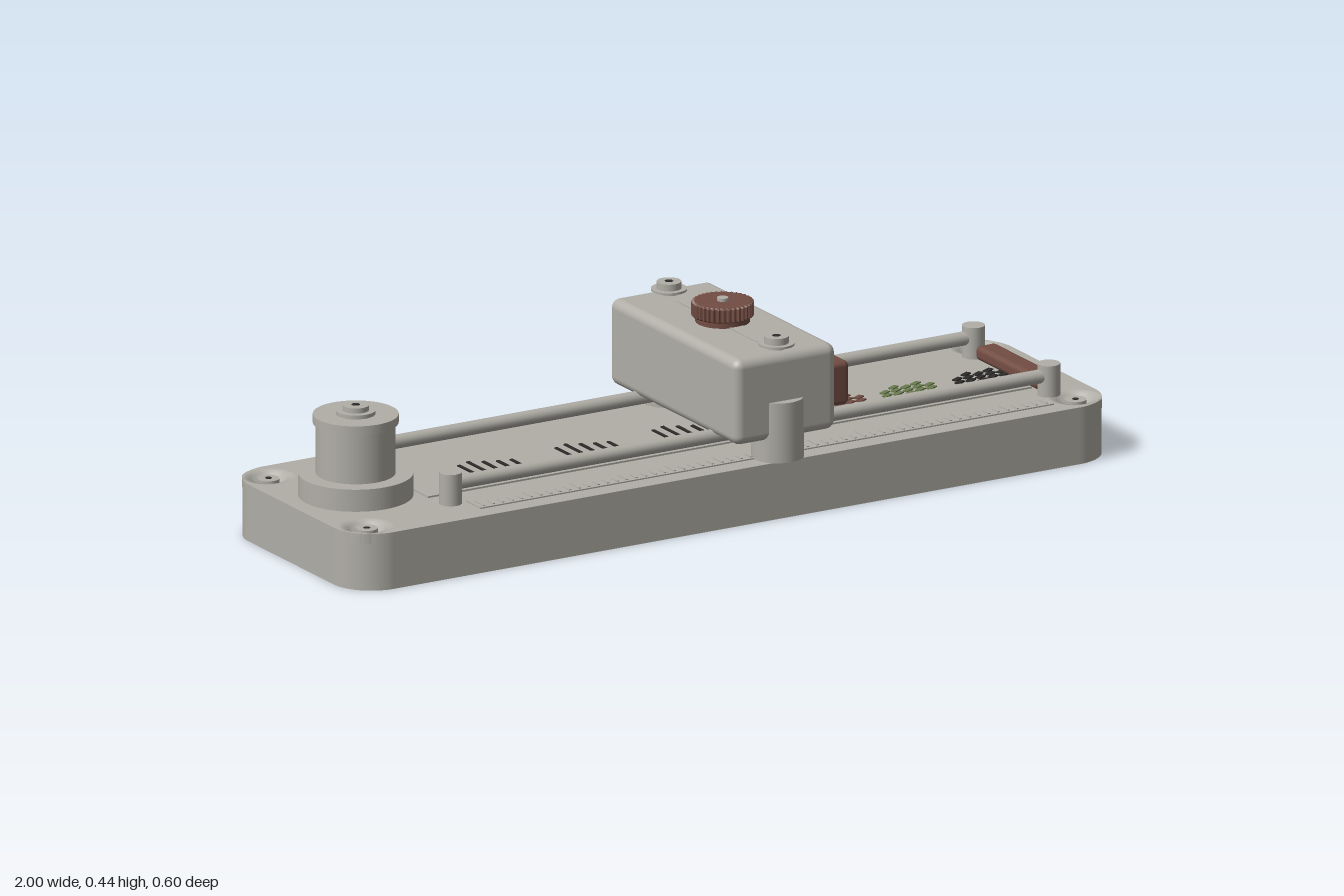
import * as THREE from 'three';
import { RoundedBoxGeometry } from 'three/addons/geometries/RoundedBoxGeometry.js';

const mat = (name, color) => Object.assign(new THREE.MeshStandardMaterial({ color }), { name });

export function createModel() {
  const model = new THREE.Group();
  model.name = 'slideInstrument';
  const grey = mat('warmGrey', 0xb0aea6);
  const brown = mat('redBrown', 0x734d43);
  const green = mat('mossGreen', 0x6b7d4f);
  const black = mat('charcoal', 0x2c2b29);

  const add = (name, geo, material, x = 0, y = 0, z = 0) => {
    const m = new THREE.Mesh(geo, material);
    m.name = name;
    m.position.set(x, y, z);
    model.add(m);
    return m;
  };
  // Box given by its limits, rounded when r > 0
  const box = (name, material, x0, x1, y0, y1, z0, z1, r = 0) => {
    const s = [x1 - x0, y1 - y0, z1 - z0];
    const geo = r ? new RoundedBoxGeometry(...s, 4, r) : new THREE.BoxGeometry(...s);
    return add(name, geo, material, (x0 + x1) / 2, (y0 + y1) / 2, (z0 + z1) / 2);
  };
  const disc = (name, material, r, y0, y1, x, z, sides = 40) =>
    add(name, new THREE.CylinderGeometry(r, r, y1 - y0, sides), material, x, (y0 + y1) / 2, z);
  // Rounded outline lying flat, raised along y
  const slab = (name, w, d, r, y0, y1, holes = []) => {
    const s = new THREE.Shape();
    const a = w / 2, b = d / 2;
    s.absarc(a - r, b - r, r, 0, Math.PI / 2);
    s.absarc(r - a, b - r, r, Math.PI / 2, Math.PI);
    s.absarc(r - a, r - b, r, Math.PI, Math.PI * 1.5);
    s.absarc(a - r, r - b, r, Math.PI * 1.5, Math.PI * 2);
    for (const [x, z, hr] of holes) s.holes.push(new THREE.Path().absarc(x, z, hr, 0, Math.PI * 2, true));
    const geo = new THREE.ExtrudeGeometry(s, { depth: y1 - y0, bevelEnabled: false, curveSegments: 20 });
    geo.rotateX(-Math.PI / 2);
    return add(name, geo, grey, 0, y0, 0);
  };

  // Base with countersunk corner screws
  const corners = [];
  for (const x of [-0.93, 0.93]) for (const z of [-0.215, 0.215]) corners.push([x, z, 0.06]);
  slab('baseBody', 2, 0.57, 0.1, 0, 0.112);
  slab('baseTop', 2, 0.57, 0.1, 0.112, 0.134, corners);
  const cup = [[0.02, 0.114], [0.034, 0.114], [0.042, 0.13], [0.06, 0.134]].map(p => new THREE.Vector2(...p));
  for (const [x, z] of corners) {
    add('screwCup', new THREE.LatheGeometry(cup.map(p => p.clone()).reverse(), 40),
      grey, x, 0, z).material.side = THREE.DoubleSide;
    disc('cornerScrew', grey, 0.025, 0.112, 0.13, x, z, 24);
    disc('screwSocket', black, 0.008, 0.128, 0.131, x, z, 6);
  }

  // Drum on its turntable
  const dx = -0.83;
  disc('turntable', grey, 0.13, 0.134, 0.186, dx, 0, 64);
  disc('drum', grey, 0.09, 0.186, 0.305, dx, 0, 48);
  disc('drumRim', grey, 0.097, 0.305, 0.325, dx, 0, 48);
  disc('drumWasher', grey, 0.045, 0.325, 0.334, dx, 0);
  disc('drumBolt', grey, 0.03, 0.334, 0.346, dx, 0);
  disc('drumSocket', black, 0.01, 0.345, 0.347, dx, 0, 6);

  // Guide rails and end posts
  for (const z of [-0.165, 0.165]) {
    const rail = add('rail', new THREE.CylinderGeometry(0.016, 0.016, 1.57, 20), grey, 0.105, 0.18, z);
    rail.rotation.z = Math.PI / 2;
    for (const x of [-0.68, 0.89]) disc('railPost', grey, 0.026, 0.134, 0.208, x, z, 24);
  }

  // Centre plate and end stop
  box('centrePlate', grey, -0.705, 0.88, 0.13, 0.138, -0.108, 0.108);
  box('endStop', brown, 0.875, 0.93, 0.136, 0.17, -0.135, 0.135, 0.012);

  // Straight gauge marks
  const halves = [0.05, 0.062, 0.047, 0.035, 0.028];
  for (const x0 of [-0.53, -0.275, -0.02]) {
    halves.forEach((h, i) => {
      const x = x0 + i * 0.031;
      box('gaugeMark', black, x - 0.004, x + 0.004, 0.136, 0.141, -h, h);
    });
  }
  // Coloured sample marks: slanted columns of short dashes
  const counts = [3, 5, 4, 5, 3];
  [[0.375, brown], [0.56, green], [0.75, black]].forEach(([x0, material]) => {
    counts.forEach((n, i) => {
      for (let k = 0; k < n; k++) {
        const z = (k - (n - 1) / 2) * 0.022;
        const dash = add('sampleDash', new THREE.BoxGeometry(0.026, 0.005, 0.013),
          material, x0 + 0.005 + i * 0.029 - z * 0.3, 0.1385, z);
        dash.rotation.y = 0.5;
      }
    });
  });

  // Ruler strip with raised ticks
  box('ruler', grey, -0.645, 0.86, 0.132, 0.137, 0.172, 0.238);
  for (let i = 0; i < 60; i++) {
    const x = -0.63 + i * 0.025;
    box('rulerTick', grey, x - 0.003, x + 0.003, 0.136, 0.139, i % 5 ? 0.205 : 0.19, 0.23);
  }

  // Carriage bridge with side feet
  const cx = 0.133;
  box('carriage', grey, 0, 0.267, 0.184, 0.387, -0.279, 0.279, 0.022);
  for (const z of [-0.24, 0.24]) {
    disc('carriageFoot', grey, 0.06, 0.134, 0.275, cx, z, 48);
    disc('clampStem', grey, 0.022, 0.385, 0.396, cx, z * 0.98, 24);
    disc('clampWasher', grey, 0.041, 0.395, 0.4, cx, z * 0.98);
    disc('clampScrew', grey, 0.028, 0.4, 0.416, cx, z * 0.98);
    disc('clampSocket', black, 0.01, 0.4155, 0.417, cx, z * 0.98, 6);
  }
  const slot = slab('carriageSlot', 0.036, 0.37, 0.017, 0.386, 0.389);
  slot.position.x = cx;
  box('readingHead', brown, 0.262, 0.375, 0.191, 0.294, -0.153, 0.153, 0.012);
  box('pointerBlock', brown, 0.26, 0.33, 0.155, 0.206, -0.276, -0.226, 0.005);

  // Knurled adjusting knob
  disc('knobCollar', brown, 0.062, 0.387, 0.4, cx, 0);
  const knob = new THREE.Shape();
  for (let i = 0; i < 144; i++) {
    const a = i / 144 * Math.PI * 2, r = i % 4 < 2 ? 0.071 : 0.066;
    knob[i ? 'lineTo' : 'moveTo'](r * Math.cos(a), r * Math.sin(a));
  }
  const knobGeo = new THREE.ExtrudeGeometry(knob, {
    depth: 0.029, bevelThickness: 0.003, bevelSize: 0.003, bevelOffset: -0.003, bevelSegments: 1 });
  add('knob', knobGeo.rotateX(-Math.PI / 2), brown, cx, 0.403, 0);
  disc('knobScrew', grey, 0.013, 0.434, 0.442, cx, 0, 20);
  return model;
}
